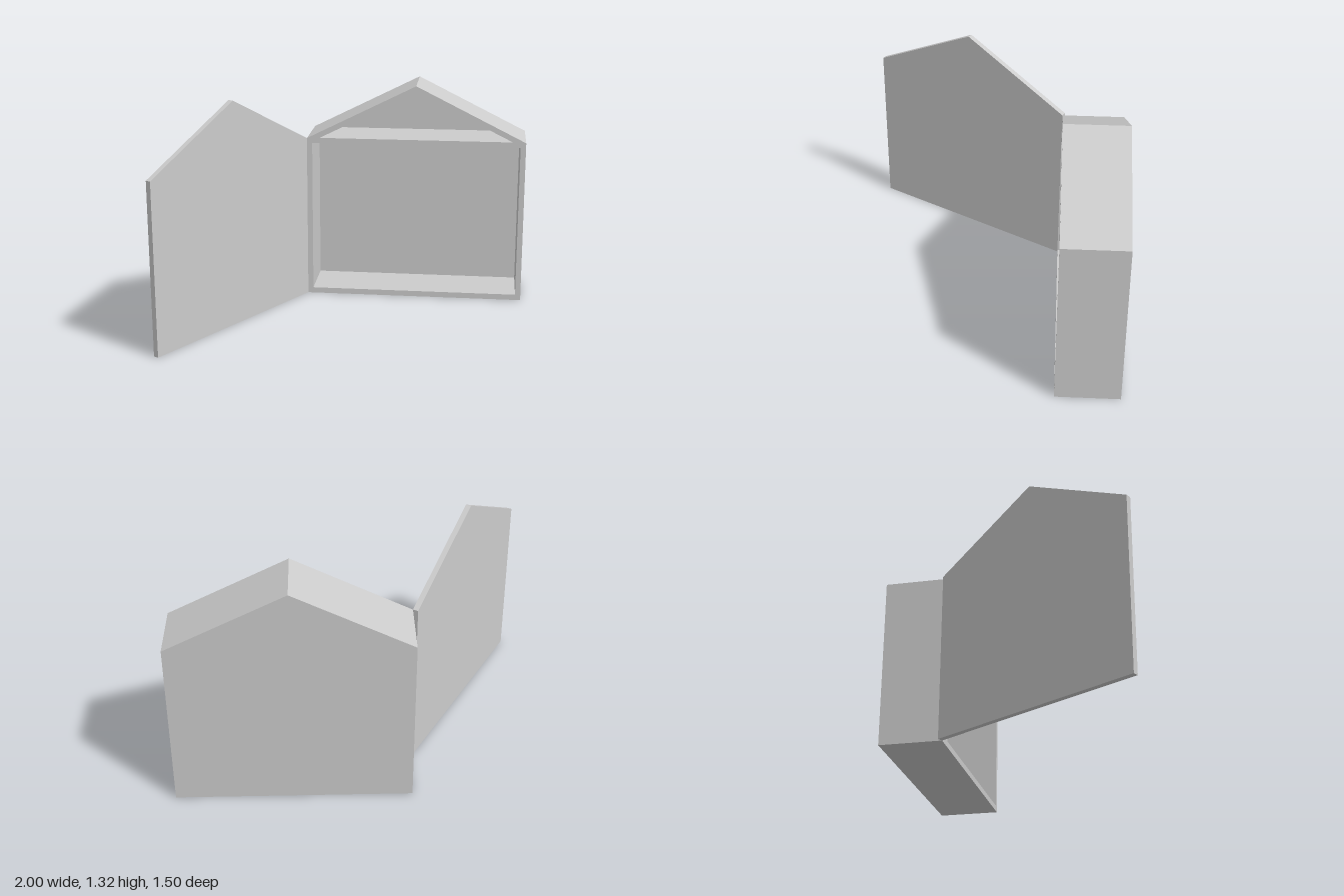
import * as THREE from 'three';

const W = 1.315, EAVE = 0.987, PEAK = 1.316; // gable outline
const T = 0.032;                             // wall thickness
const DEPTH = 0.36, BACK = -0.75;            // cabinet depth and rear plane
const HINGE_X = -0.315;

const points = (list) => list.map(([x, y]) => new THREE.Vector2(x, y));

function gableShape() {
  return new THREE.Shape(points([[0, 0], [W, 0], [W, EAVE], [W / 2, PEAK], [0, EAVE]]));
}

function extrude(name, shape, depth, material) {
  const geometry = new THREE.ExtrudeGeometry(shape, { depth, bevelEnabled: false });
  const mesh = new THREE.Mesh(geometry, material);
  mesh.name = name;
  return mesh;
}

export function createModel() {
  const group = new THREE.Group();
  group.name = 'houseCabinet';
  const grey = new THREE.MeshStandardMaterial({ color: 0xcccccc });
  grey.name = 'light grey';

  // Walls, floor, shelf and roof, with a main and an attic compartment
  const frame = gableShape();
  const shelfBottom = EAVE - T + 0.003, shelfTop = EAVE + 0.003;
  const slope = (PEAK - EAVE) / (W / 2);
  const innerPeak = PEAK - T * Math.hypot(1, slope);
  const atticHalf = (innerPeak - shelfTop) / slope;
  frame.holes.push(
    new THREE.Path(points([[T, 0.034], [T, shelfBottom], [W - T, shelfBottom], [W - T, 0.034]])),
    new THREE.Path(points([[W / 2 - atticHalf, shelfTop], [W / 2, innerPeak], [W / 2 + atticHalf, shelfTop]])),
  );
  const body = extrude('cabinetFrame', frame, DEPTH - T, grey);
  body.position.set(HINGE_X, 0, BACK + T);

  // Rear wall
  const back = extrude('backPanel', gableShape(), T, grey);
  back.position.set(HINGE_X, 0, BACK);

  // Door with the same outline, swung open 120 degrees about the left edge
  const door = extrude('door', gableShape(), 0.031, grey);
  door.position.set(HINGE_X, 0, BACK + DEPTH);
  door.rotation.y = -Math.PI * 2 / 3;

  group.add(body, back, door);
  return group;
}
